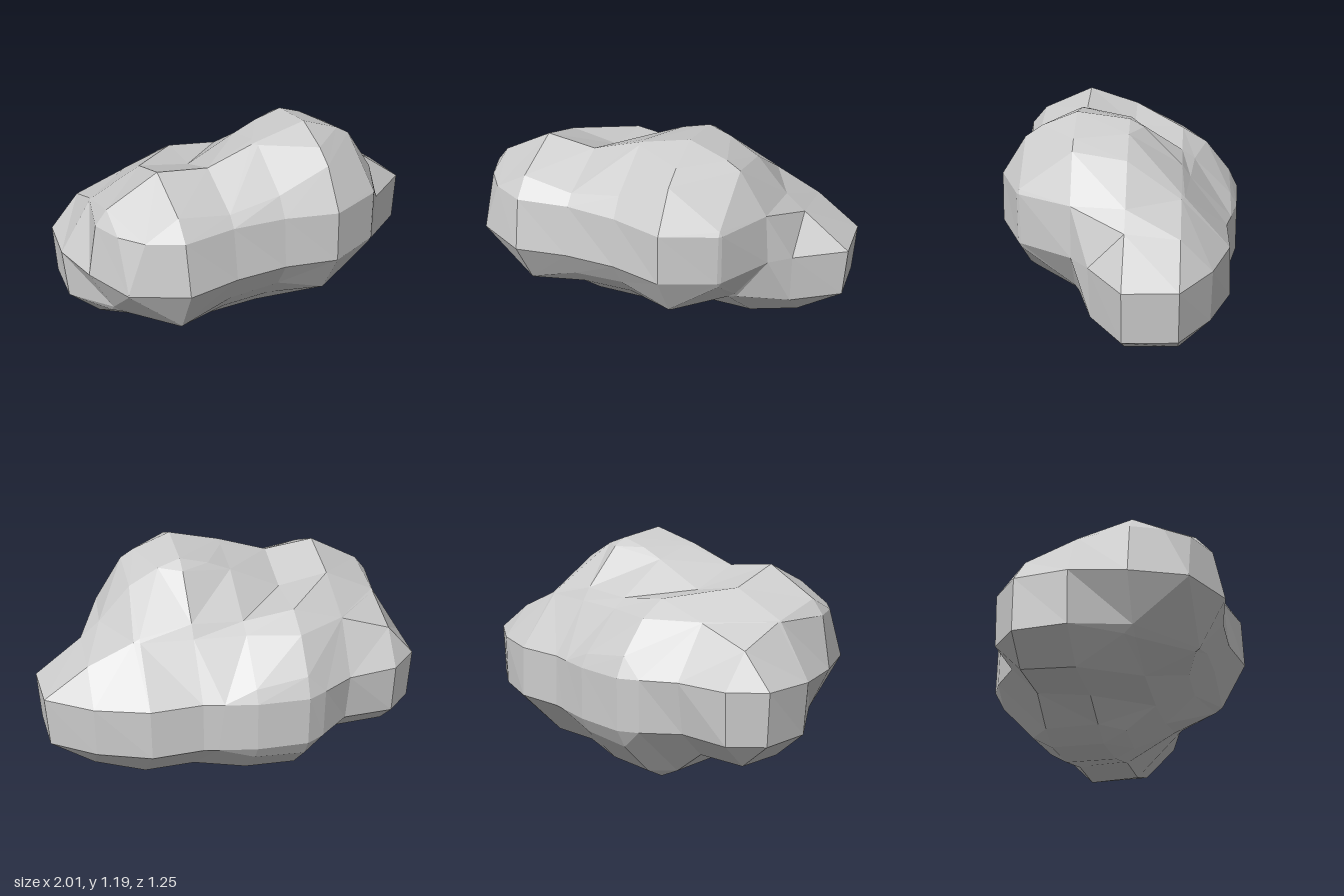
import * as THREE from 'three';

// Overlapping lobes of the boulder: x, y, z, radius
const LOBES = [
  [0.2, 0.745, 0.175, 0.457],   // tall front lobe
  [0.2, 0.655, 0.21, 0.415],    // its lower front
  [0.22, 0.76, 0.06, 0.412],    // its back
  [-0.52, 0.655, 0.205, 0.427], // front right lobe
  [-0.17, 0.68, 0.215, 0.388],  // bridge between the two
  [0.48, 0.45, -0.185, 0.395],  // back left lobe
  [0.735, 0.47, -0.16, 0.325],  // its tip
  [0.45, 0.66, -0.1, 0.3],      // shoulder above the tip
  [0.2, 0.45, -0.18, 0.395],    // bridge to the belly
  [-0.185, 0.455, -0.17, 0.483], // low belly
  [-0.17, 0.44, 0.02, 0.36],    // front of the belly
  [-0.6, 0.56, -0.07, 0.38],    // back right lobe
  [-0.72, 0.47, -0.16, 0.335],  // its outer end
  [-0.25, 0.57, -0.21, 0.385],  // back hump
];
const STEP = 0.265;
const ORIGIN = [-0.035, 0.595, -0.04];
const BLEND = 0.015;

// Softly blended distance to all lobes, negative inside
function field(p) {
  let sum = 0;
  for (const [x, y, z, r] of LOBES) {
    sum += Math.exp(-(Math.hypot(p[0] - x, p[1] - y, p[2] - z) - r) / BLEND);
  }
  return -BLEND * Math.log(Math.max(sum, 1e-200));
}

// Cube corners are numbered by bits x=1, y=2, z=4; faces run counter-clockwise from outside
const FACES = [
  [4, 5, 7, 6], [1, 0, 2, 3], [5, 1, 3, 7],
  [0, 4, 6, 2], [6, 7, 3, 2], [0, 1, 5, 4],
];

// Surface polygons inside one grid cell, as a fan of triangles
function polygonise(cell, out) {
  const corners = [];
  for (let c = 0; c < 8; c++) {
    const bits = [c & 1, (c >> 1) & 1, (c >> 2) & 1];
    const p = bits.map((b, a) => ORIGIN[a] + (cell[a] + b) * STEP);
    corners.push({ p, d: field(p) });
  }
  const key = (a, b) => Math.min(a, b) * 8 + Math.max(a, b);
  const point = (k) => {
    const a = corners[k >> 3], b = corners[k & 7];
    const t = a.d / (a.d - b.d);
    return a.p.map((v, i) => v + (b.p[i] - v) * t);
  };

  // Each face links the edge where the outline re-enters to the one where it left
  const next = new Map();
  for (const f of FACES) {
    for (let i = 0; i < 4; i++) {
      const a = f[i], b = f[(i + 1) % 4];
      if (!(corners[a].d < 0 && corners[b].d >= 0)) continue;
      let j = i + 1;
      while (corners[f[(j + 1) % 4]].d >= 0) j++;
      next.set(key(f[j % 4], f[(j + 1) % 4]), key(a, b));
    }
  }
  while (next.size) {
    const loop = [];
    let k = next.keys().next().value;
    while (next.has(k)) {
      loop.push(point(k));
      const n = next.get(k);
      next.delete(k);
      k = n;
    }
    for (let i = 1; i < loop.length - 1; i++) {
      out.push(...loop[0], ...loop[i], ...loop[i + 1]);
    }
  }
}

export function createModel() {
  const positions = [];
  for (let i = -5; i < 5; i++)
    for (let j = -4; j < 4; j++)
      for (let k = -4; k < 4; k++) polygonise([i, j, k], positions);

  const geometry = new THREE.BufferGeometry();
  geometry.setAttribute('position', new THREE.Float32BufferAttribute(positions, 3));

  // Stand it centred on the ground
  geometry.center();
  geometry.computeBoundingBox();
  geometry.translate(0, -geometry.boundingBox.min.y, 0);
  geometry.computeVertexNormals();

  const boulder = new THREE.Mesh(
    geometry,
    new THREE.MeshStandardMaterial({ color: 0xcccccc, flatShading: true })
  );
  boulder.name = 'boulder';
  const group = new THREE.Group();
  group.name = 'lumpyBoulder';
  group.add(boulder);
  return group;
}
